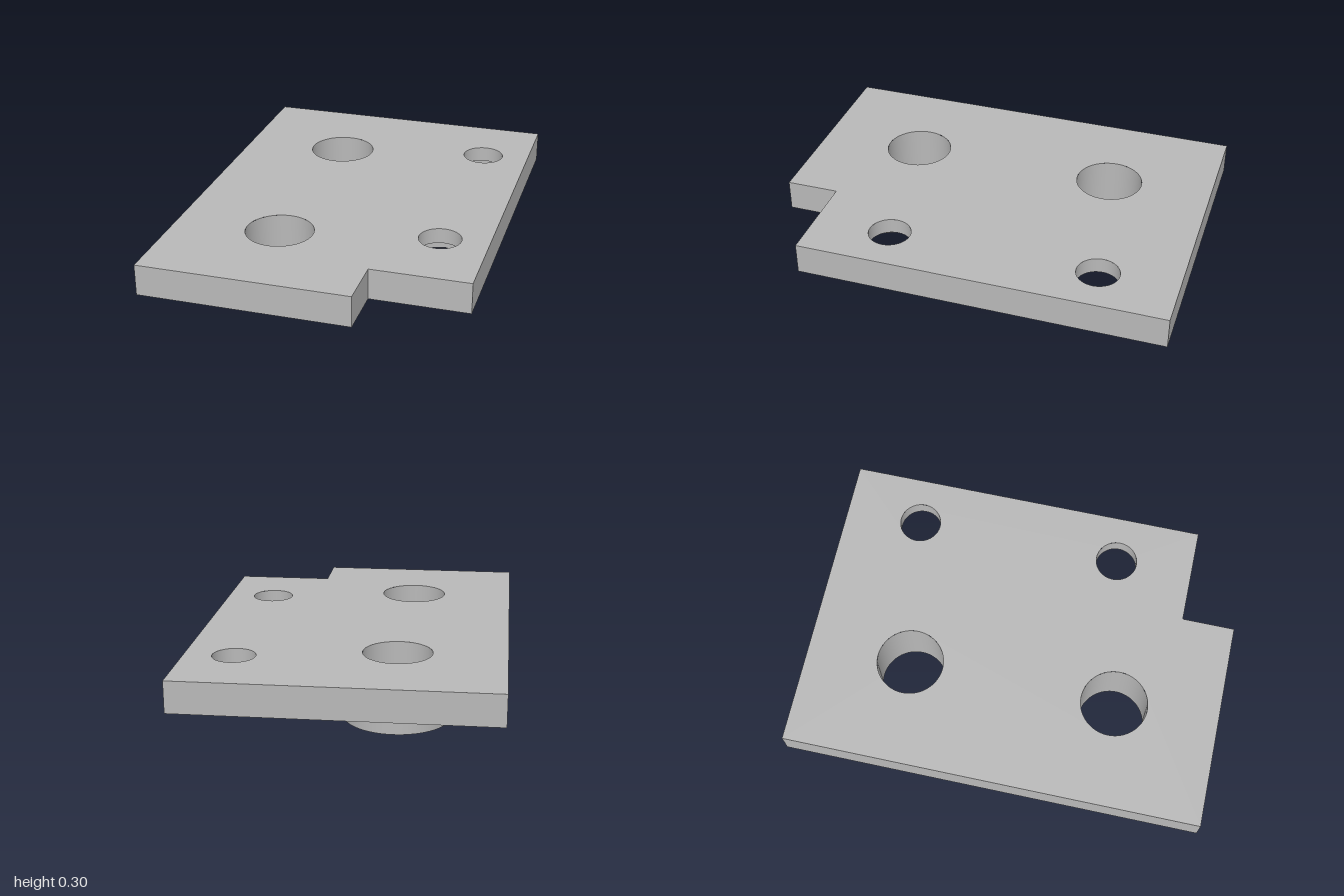
import * as THREE from 'three';
import { mergeGeometries } from 'three/addons/utils/BufferGeometryUtils.js';

const SEG = 64, TOP = 0.302, UNDER = 0.153, STEP = 0.228;

// Plate outline as [x, z], running left to right along the front
const OUTLINE = [[-0.73, 1], [0.265, 1], [0.265, 0.747], [0.73, 0.747], [0.73, -1], [-0.73, -1]];

// Flanged bushings and counterbored bolt holes: centre, radius at top face, radius at underside
const BUSHINGS = [-0.5, 0.5].map((z) => ({ x: -0.23, z, inner: 0.16, outer: 0.25 }));
const BOLTS = [-0.627, 0.373].map((z) => ({ x: 0.5, z, inner: 0.1, outer: 0.2 }));

// One horizontal plate face, with a round opening for every hole
function plateFace(y, up, radiusKey) {
  const s = up ? -1 : 1;
  const shape = new THREE.Shape(OUTLINE.map(([x, z]) => new THREE.Vector2(x, s * z)));
  for (const h of [...BUSHINGS, ...BOLTS]) {
    const hole = new THREE.Path();
    hole.absarc(h.x, s * h.z, h[radiusKey], 0, Math.PI * 2, true);
    shape.holes.push(hole);
  }
  return new THREE.ShapeGeometry(shape, SEG).rotateX(s * Math.PI / 2).translate(0, y, 0);
}

// Upright wall below one edge of the outline
function edgeWall([ax, az], [bx, bz]) {
  return new THREE.PlaneGeometry(Math.hypot(bx - ax, bz - az), TOP - UNDER)
    .rotateY(Math.atan2(az - bz, bx - ax))
    .translate((ax + bx) / 2, (TOP + UNDER) / 2, (az + bz) / 2);
}

// Revolved profile with a sharp edge at each corner
function turned(profile) {
  const bands = profile.slice(1).map((p, i) =>
    new THREE.LatheGeometry([profile[i], p].map(([r, y]) => new THREE.Vector2(r, y)), SEG));
  return mergeGeometries(bands);
}

export function createModel() {
  const model = new THREE.Group();
  model.name = 'mountingPlate';
  const grey = new THREE.MeshStandardMaterial({ color: 0xb8b8b8 });
  grey.name = 'grey';
  const add = (name, geometry, x = 0, z = 0) => {
    const mesh = new THREE.Mesh(geometry, grey);
    mesh.name = name;
    mesh.position.set(x, 0, z);
    model.add(mesh);
  };

  // Notched plate
  add('plate', mergeGeometries([
    plateFace(TOP, true, 'inner'),
    plateFace(UNDER, false, 'outer'),
    ...OUTLINE.map((p, i) => edgeWall(p, OUTLINE[(i + 1) % OUTLINE.length])),
  ]));

  // Hollow bosses below the plate, bored right through
  for (const { x, z, inner, outer } of BUSHINGS) {
    add('boss', turned([[inner, TOP], [inner, 0], [outer, 0], [outer, UNDER]]), x, z);
  }

  // Bolt holes, counterbored from the underside
  for (const { x, z, inner, outer } of BOLTS) {
    add('boltHole', turned([[inner, TOP], [inner, STEP], [outer, STEP], [outer, UNDER]]), x, z);
  }
  return model;
}
